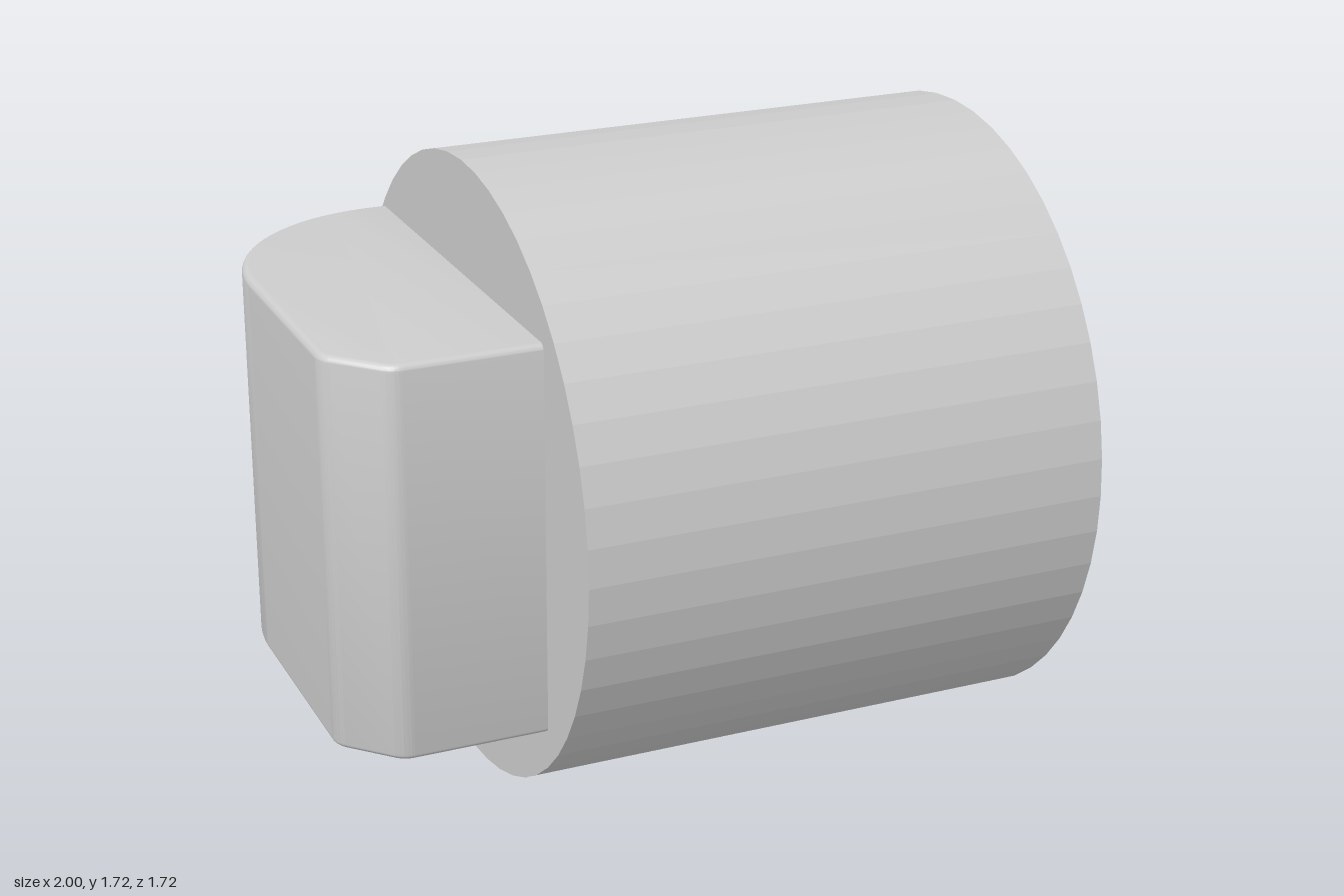
import * as THREE from 'three';
import { toCreasedNormals } from 'three/addons/utils/BufferGeometryUtils.js';

const RADIUS = 0.86;
const FACE_X = -0.465; // end of the cylinder that carries the tongue

export function createModel() {
  const group = new THREE.Group();

  // Faceted cylinder lying along x
  const length = 1 - FACE_X;
  const body = new THREE.Mesh(
    new THREE.CylinderGeometry(RADIUS, RADIUS, length, 52).rotateZ(Math.PI / 2),
    new THREE.MeshStandardMaterial({ color: 0xcccccc, flatShading: true })
  );
  body.name = 'cylinderBody';
  body.position.set(FACE_X + length / 2, RADIUS, 0);
  group.add(body);

  // Tongue outline seen from above (shape y = -z), its root sunk into the cylinder
  const root = FACE_X + 0.06, back = 0.665, front = -0.575, r = 0.49;
  const outline = new THREE.Shape();
  outline.moveTo(root, front);
  outline.lineTo(root, back);
  outline.lineTo(-1 + r, back);
  outline.absarc(-1 + r, back - r, r, Math.PI / 2, Math.PI, false);
  outline.lineTo(-1, -0.40);
  outline.quadraticCurveTo(-1, -0.43, -0.979, -0.452);
  outline.lineTo(-0.881, -0.554);
  outline.quadraticCurveTo(-0.86, front, -0.83, front);
  outline.closePath();

  // Tongue block with softened top and bottom edges
  const bevel = 0.02, bottom = 0.32, top = 1.405;
  const block = new THREE.ExtrudeGeometry(outline, {
    depth: top - bottom - 2 * bevel,
    bevelThickness: bevel,
    bevelSize: bevel,
    bevelOffset: -bevel,
    bevelSegments: 8,
    curveSegments: 20,
  }).rotateX(-Math.PI / 2);
  const tongue = new THREE.Mesh(
    toCreasedNormals(block, 0.3),
    new THREE.MeshStandardMaterial({ color: 0xcccccc })
  );
  tongue.name = 'tongue';
  tongue.position.y = bottom + bevel;
  group.add(tongue);

  return group;
}
